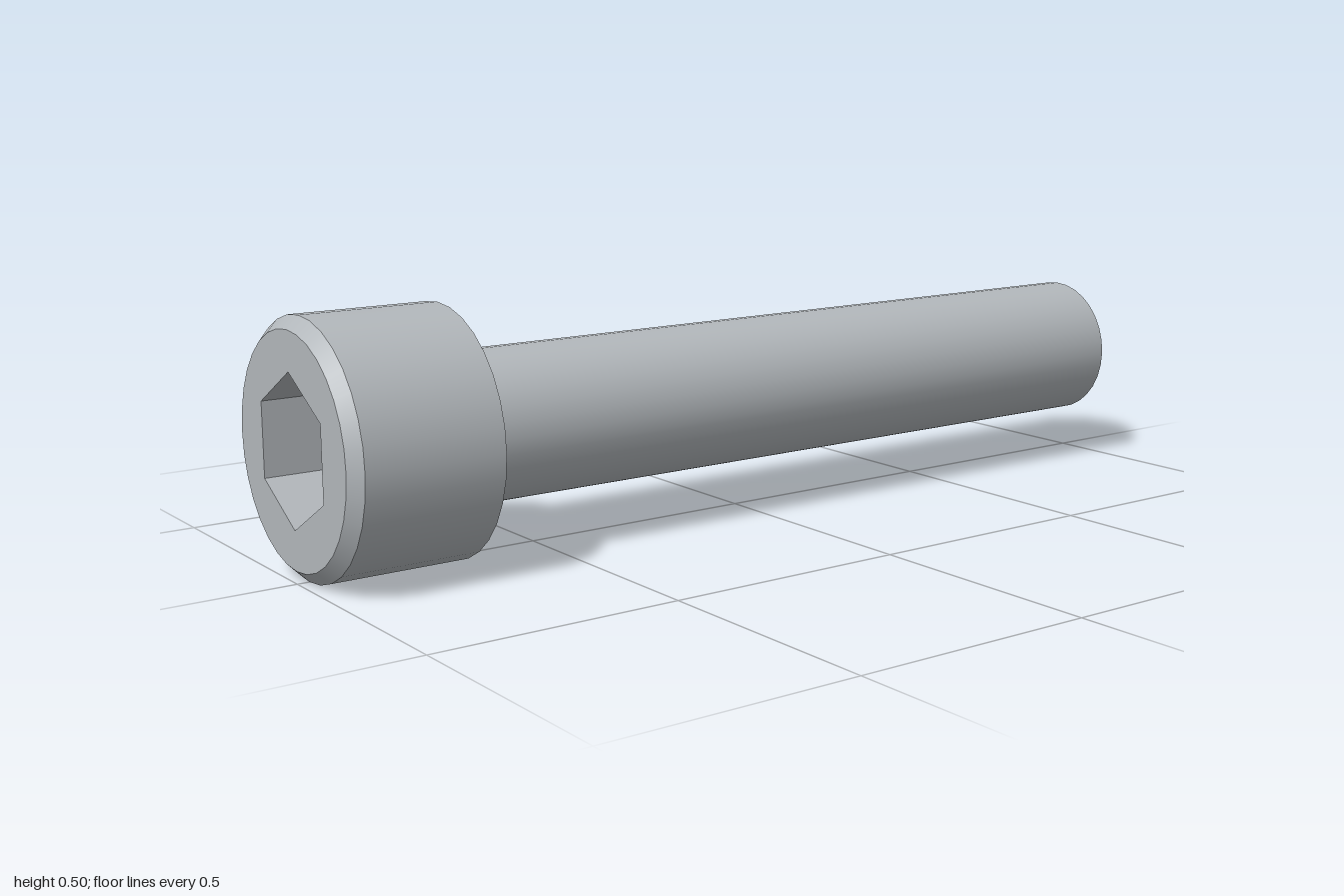
import * as THREE from 'three';

const SIDES = 32;
const HEAD_R = 0.248, RIM_R = 0.224, SHAFT_R = 0.15, TIP_R = 0.113;
const SEAT_Z = 0.697, FILLET = 0.015;
const HEX_R = 0.147, DRILL_R = 0.127, SOCKET_Z = 0.85;

const steel = new THREE.MeshStandardMaterial({ color: 0xb2b7bb });
steel.name = 'steel';

// Points on a regular polygon with one corner straight down
const ring = (radius, sides) => Array.from({ length: sides }, (_, i) => {
  const a = (i / sides) * Math.PI * 2;
  return new THREE.Vector2(Math.sin(a) * radius, -Math.cos(a) * radius);
});

export function createModel() {
  const screw = new THREE.Group();
  screw.name = 'socketScrew';
  screw.position.y = 0.249;

  const add = (name, geometry, z = 0) => {
    const mesh = new THREE.Mesh(geometry, steel);
    mesh.name = name;
    mesh.position.z = z;
    screw.add(mesh);
  };

  // Turned surface around the z axis from [radius, z] pairs
  const turned = (profile, sides = SIDES) =>
    new THREE.LatheGeometry(profile.map(([r, z]) => new THREE.Vector2(r, z)), sides)
      .rotateX(Math.PI / 2);

  // Flat plate facing the front, with a hole
  const plate = (outer, inner) => {
    const shape = new THREE.Shape(outer);
    shape.holes.push(new THREE.Path(inner));
    return new THREE.ShapeGeometry(shape);
  };

  // Quarter-round where the shank meets the head
  const fillet = Array.from({ length: 6 }, (_, i) => {
    const a = (i / 5) * Math.PI / 2;
    return [SHAFT_R + FILLET * (1 - Math.cos(a)), SEAT_Z - FILLET * (1 - Math.sin(a))];
  });

  // Separate sections keep the edges between them sharp
  add('tipFace', turned([[0, -1], [TIP_R, -1]]));
  add('tipChamfer', turned([[TIP_R, -1], [SHAFT_R, -0.963]]));
  add('shank', turned([[SHAFT_R, -0.963], ...fillet]));
  add('headUnderside', turned([[SHAFT_R + FILLET, SEAT_Z], [HEAD_R, SEAT_Z]]));
  add('headSide', turned([[HEAD_R, SEAT_Z], [HEAD_R, 0.976]]));
  add('headChamfer', turned([[HEAD_R, 0.976], [RIM_R, 1]]));
  add('headFace', plate(ring(RIM_R, SIDES), ring(HEX_R, 6)), 1);

  // Hexagonal socket with a drilled conical bottom
  const walls = turned([[HEX_R, 1], [HEX_R, SOCKET_Z]], 6).toNonIndexed();
  walls.computeVertexNormals();
  add('socketWalls', walls);
  add('socketLedge', plate(ring(HEX_R, 6), ring(DRILL_R, SIDES)), SOCKET_Z);
  add('socketCone', turned([[DRILL_R, SOCKET_Z], [0, SOCKET_Z - 0.073]]));

  return screw;
}
